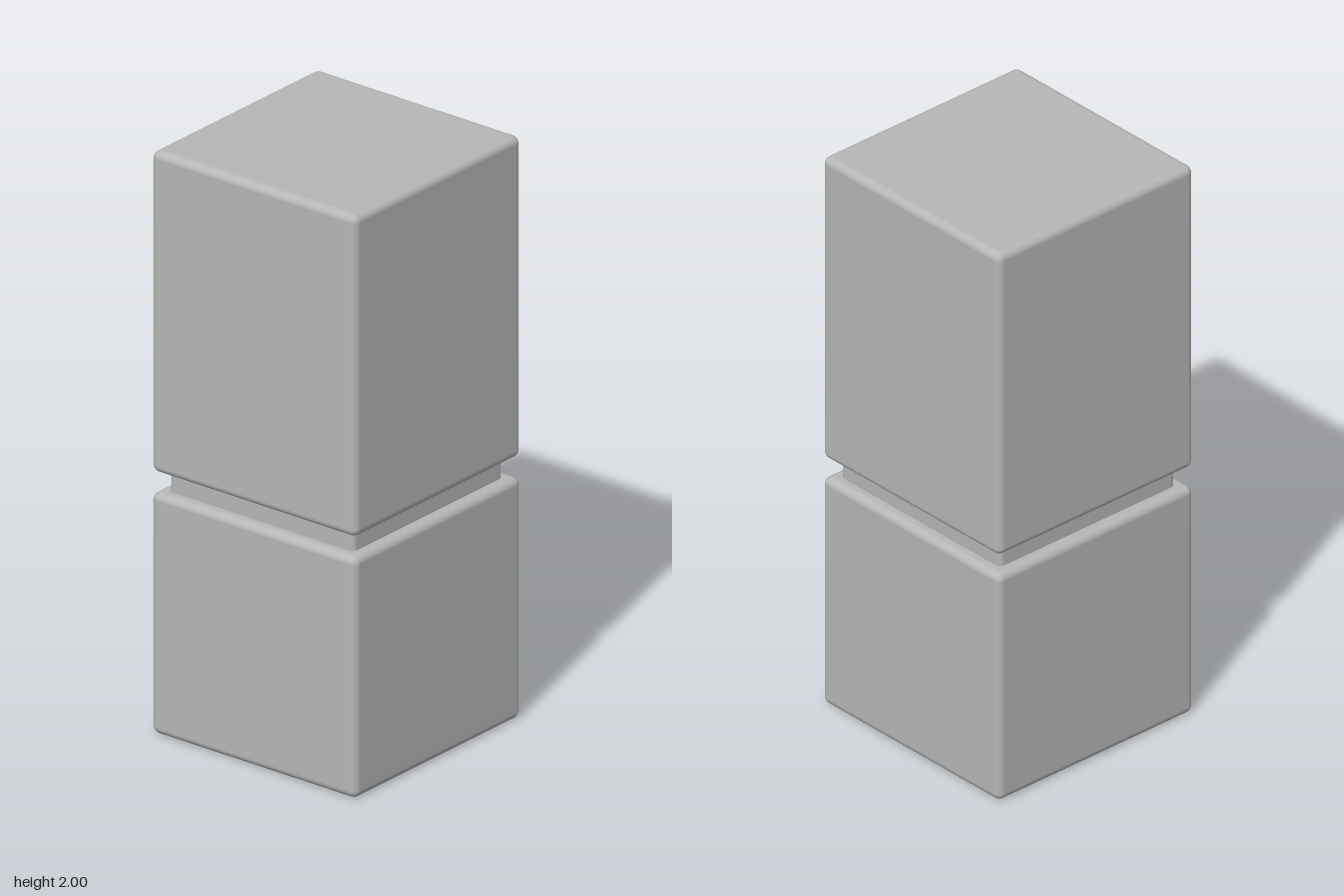
import * as THREE from 'three';
import { RoundedBoxGeometry } from 'three/addons/geometries/RoundedBoxGeometry.js';

export function createModel() {
  const model = new THREE.Group();
  model.name = 'stackedBlocks';

  const grey = new THREE.MeshStandardMaterial({ color: 0xb5b7b5 });
  grey.name = 'light grey';

  // Square block with softened edges, spanning bottom to top
  function addBlock(name, width, bottom, top, radius) {
    const geometry = new RoundedBoxGeometry(width, top - bottom, width, 5, radius);
    const mesh = new THREE.Mesh(geometry, grey);
    mesh.name = name;
    mesh.position.y = (bottom + top) / 2;
    model.add(mesh);
  }

  addBlock('lowerBlock', 0.828, 0, 0.828, 0.026);
  // The neck runs slightly into both blocks
  addBlock('neck', 0.745, 0.79, 0.94, 0.02);
  addBlock('upperBlock', 0.828, 0.897, 2, 0.026);

  return model;
}
